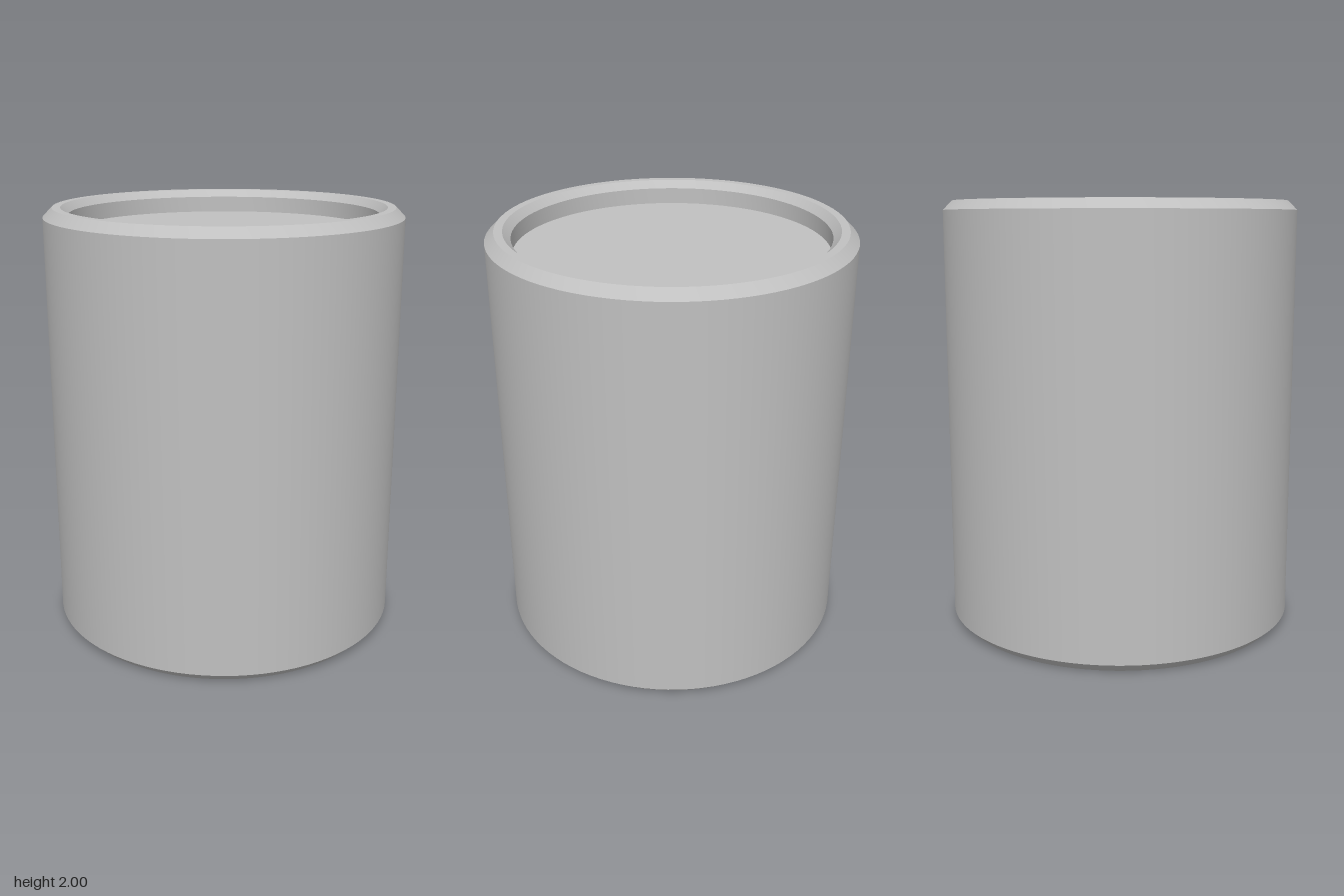
import * as THREE from 'three';
import { toCreasedNormals } from 'three/addons/utils/BufferGeometryUtils.js';

const HEIGHT = 2;
const OUTER = 0.825, OUTER_BEVEL = 0.043;
const BORE = 0.71, BORE_BEVEL = 0.034;
const FLOOR_TOP = 1.89, FLOOR_UNDERSIDE = 1.78;

export function createModel() {
  const group = new THREE.Group();
  group.name = 'hollowCylinder';

  const steel = new THREE.MeshStandardMaterial({ color: 0xc0c0c0 });
  steel.name = 'grey metal';

  // Closed cross-section: deep bore below, bevelled wall, shallow recess above
  const profile = [
    [0, FLOOR_UNDERSIDE],
    [BORE, FLOOR_UNDERSIDE],
    [BORE, BORE_BEVEL],
    [BORE + BORE_BEVEL, 0],
    [OUTER - OUTER_BEVEL, 0],
    [OUTER, OUTER_BEVEL],
    [OUTER, HEIGHT - OUTER_BEVEL],
    [OUTER - OUTER_BEVEL, HEIGHT],
    [BORE + BORE_BEVEL, HEIGHT],
    [BORE, HEIGHT - BORE_BEVEL],
    [BORE, FLOOR_TOP],
    [0, FLOOR_TOP],
  ].map(([r, y]) => new THREE.Vector2(r, y));

  // Smooth around the axis, sharp at every bevel edge
  const geometry = toCreasedNormals(new THREE.LatheGeometry(profile, 96), Math.PI / 6);
  const body = new THREE.Mesh(geometry, steel);
  body.name = 'body';
  group.add(body);

  return group;
}
